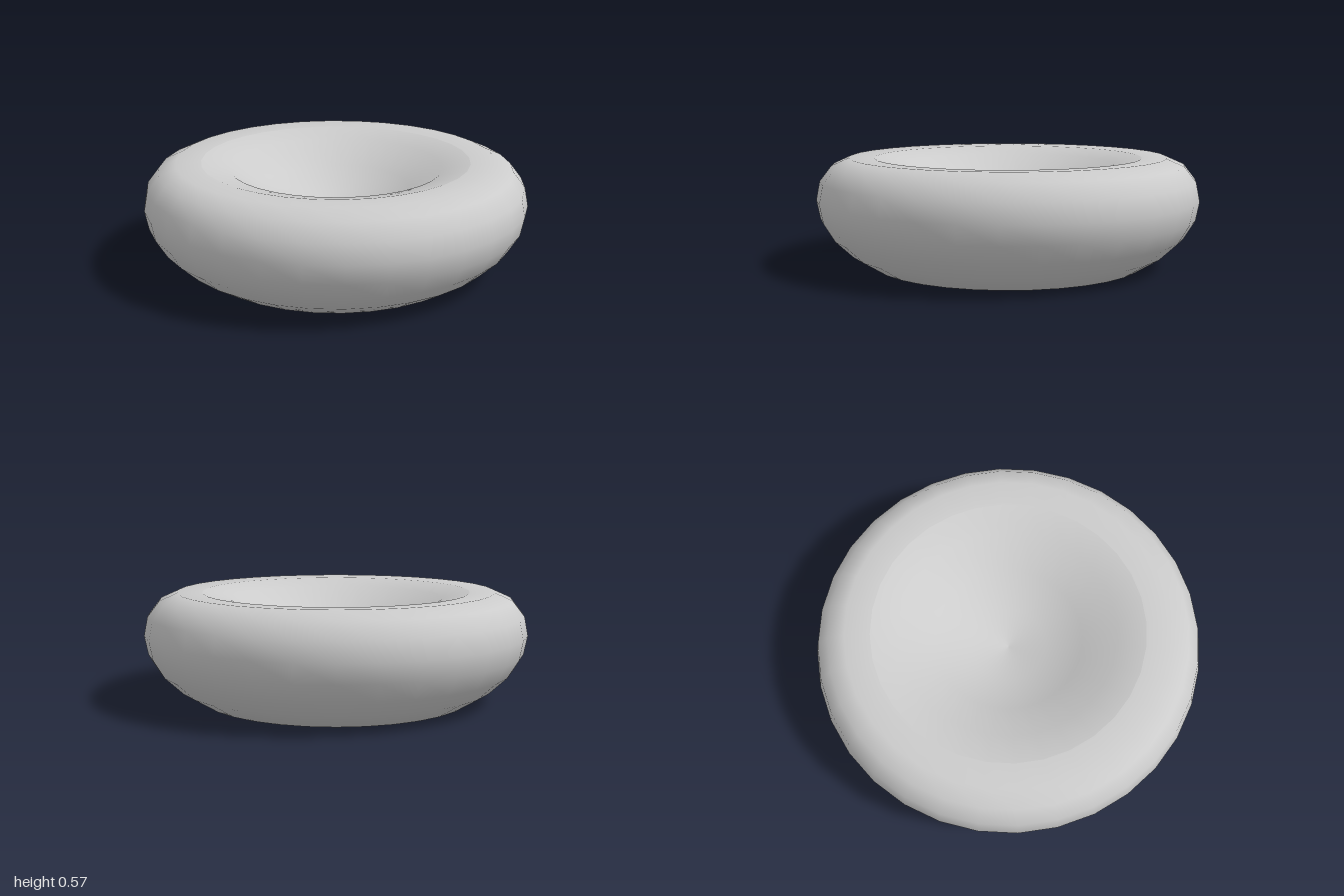
import * as THREE from 'three';

const SIDES = 32;

// Revolve a [radius, height] profile, listed from the bottom axis outward and up
function revolve(name, profile) {
  const points = profile.map(([r, y]) => new THREE.Vector2(r, y));
  const mesh = new THREE.Mesh(
    new THREE.LatheGeometry(points, SIDES),
    new THREE.MeshStandardMaterial({ color: 0xcccccc, side: THREE.DoubleSide })
  );
  mesh.name = name;
  return mesh;
}

export function createModel() {
  const group = new THREE.Group();
  group.name = 'cushion';

  // Flat base and lower half of a squashed ball, then the padded shoulder
  const body = [[0, 0], [0.36, 0]];
  const equator = 0.354;
  for (let i = -4; i <= 1; i++) {
    const a = (i * Math.PI) / 16;
    body.push([Math.cos(a), equator + 0.5 * Math.sin(a)]);
  }
  body.push([0.92, 0.53], [0.83, 0.57], [0.7, 0.565]);
  group.add(revolve('body', body));

  // Sunken seat, meeting the shoulder in a soft crease
  group.add(revolve('seatHollow', [
    [0.7, 0.565], [0.556, 0.53], [0.383, 0.42], [0.195, 0.325], [0, 0.29],
  ]));

  return group;
}
